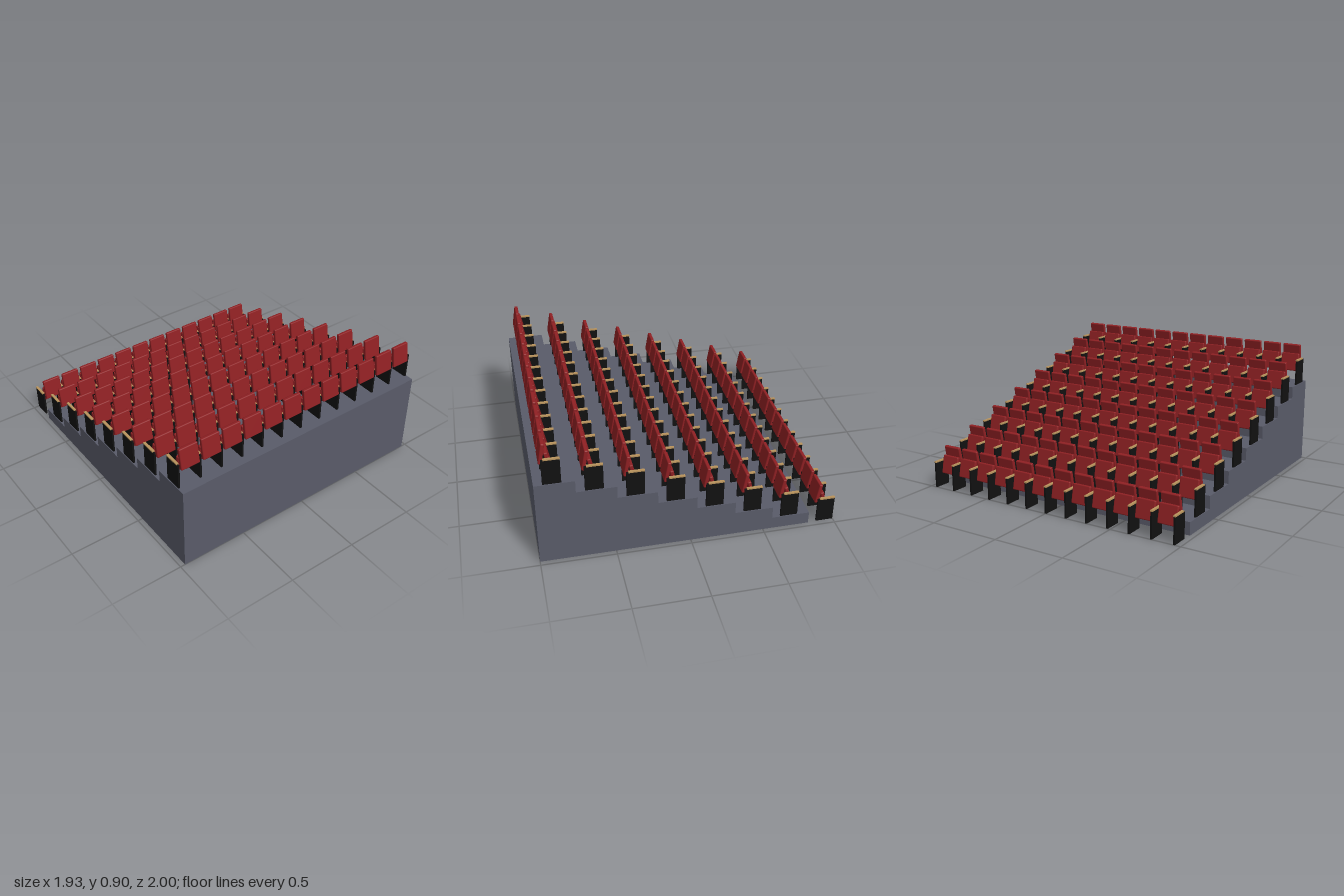
import * as THREE from 'three';
import { RoundedBoxGeometry } from 'three/addons/geometries/RoundedBoxGeometry.js';

const ROWS = 8, SEATS = 12;
const PITCH = 0.159, RUN = 0.2607, RISE = 0.0872;

function material(name, color) {
  const m = new THREE.MeshStandardMaterial({ color });
  m.name = name;
  return m;
}

export function createModel() {
  const concrete = material('slate grey', 0x595b69);
  const fabric = material('seat red', 0x8f2023);
  const metal = material('black', 0x111111);
  const wood = material('armrest wood', 0xb8935c);

  const model = new THREE.Group();
  model.name = 'tieredSeating';

  const add = (parent, name, geometry, mat, x, y, z, tilt = 0) => {
    const mesh = new THREE.Mesh(geometry, mat);
    mesh.name = name;
    mesh.position.set(x, y, z);
    mesh.rotation.x = tilt;
    parent.add(mesh);
  };

  // Stepped platform: side profile drawn in (-z, y), extruded across x
  const profile = new THREE.Shape();
  profile.moveTo(-1, 0);
  profile.lineTo(0.822, 0);
  for (let i = 1; i < ROWS; i++) {
    const front = 0.822 - (i - 1) * RUN;
    const back = i === ROWS - 1 ? -1 : front - RUN;
    profile.lineTo(front, i * RISE);
    profile.lineTo(back, i * RISE);
  }
  const platform = new THREE.ExtrudeGeometry(profile, { depth: 1.932, bevelEnabled: false });
  platform.translate(0, 0, -0.966);
  platform.rotateY(Math.PI / 2);
  add(model, 'steppedPlatform', platform, concrete, 0, 0, 0);

  // Shared seat parts
  const backGeo = new RoundedBoxGeometry(0.134, 0.148, 0.025, 2, 0.007);
  const panGeo = new RoundedBoxGeometry(0.134, 0.13, 0.025, 2, 0.007);
  const panelGeo = new THREE.BoxGeometry(0.013, 0.179, 0.118);
  const restGeo = new THREE.BoxGeometry(0.018, 0.009, 0.105);

  // Rows of folding seats facing -z
  for (let r = 0; r < ROWS; r++) {
    const row = new THREE.Group();
    row.name = 'seatRow' + (r + 1);
    row.position.set(0, r * RISE, r * RUN - 0.94);
    for (let s = 0; s < SEATS; s++) {
      const x = (s - (SEATS - 1) / 2) * PITCH;
      add(row, 'backrest', backGeo, fabric, x, 0.211, 0.049, -0.17);
      add(row, 'foldedSeat', panGeo, fabric, x, 0.155, 0.0115, 0.2);
    }
    // Side panels with wooden armrests between the seats
    for (let s = 0; s <= SEATS; s++) {
      const x = (s - SEATS / 2) * PITCH;
      add(row, 'sidePanel', panelGeo, metal, x, 0.0895, 0);
      add(row, 'armrest', restGeo, wood, x, 0.1825, -0.0075);
    }
    model.add(row);
  }
  return model;
}
